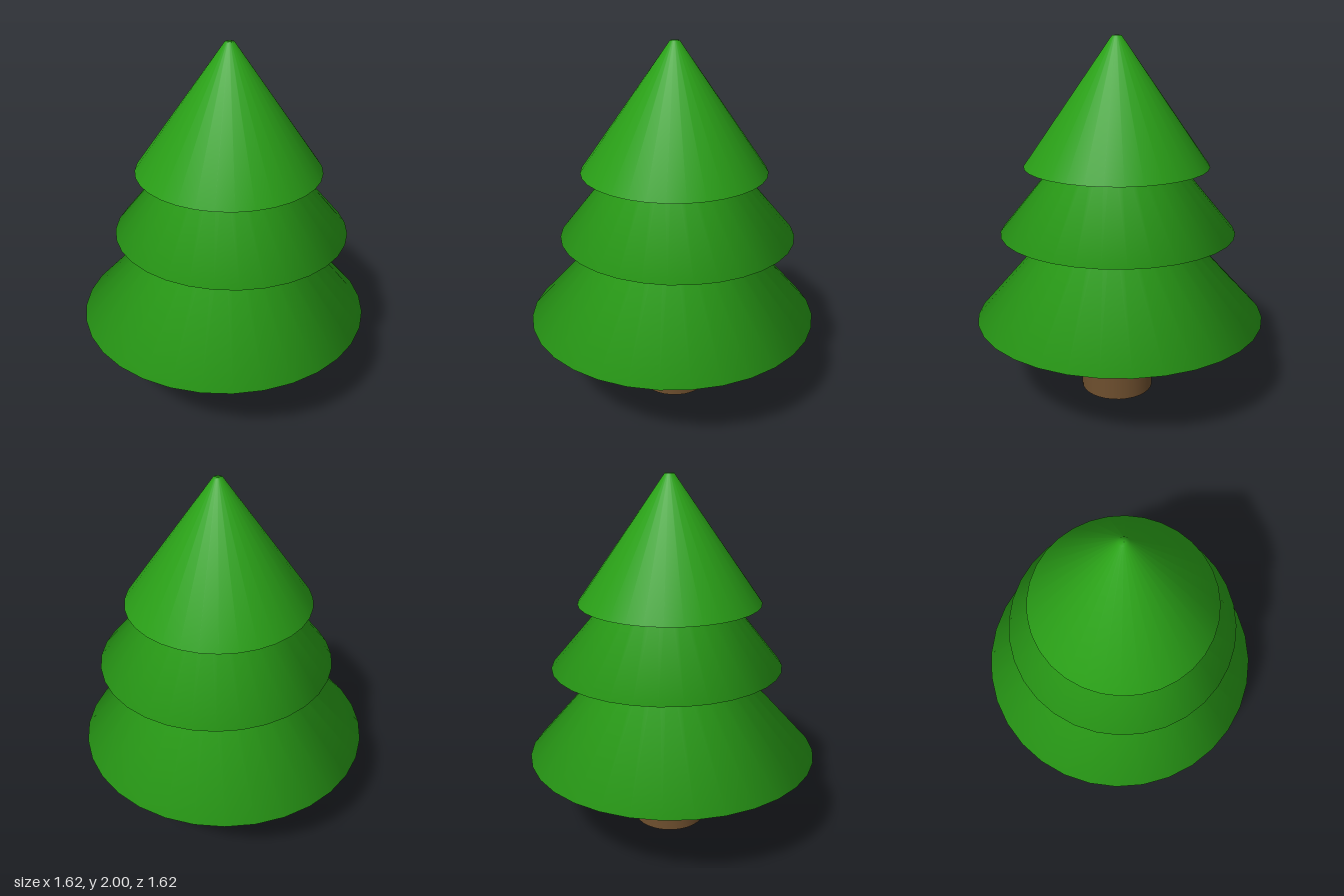
import * as THREE from 'three';

const SIDES = 32;

// Smooth lathe whose rings [radius, y, centreX, centreZ] may sit off the axis.
function offsetLathe(rings) {
  const geo = new THREE.LatheGeometry(rings.map(([r, y]) => new THREE.Vector2(r, y)), SIDES);
  const pos = geo.attributes.position;
  for (let i = 0; i < pos.count; i++) {
    const [, , cx, cz] = rings[i % rings.length];
    pos.setX(i, pos.getX(i) + cx);
    pos.setZ(i, pos.getZ(i) + cz);
  }
  return geo;
}

export function createModel() {
  const group = new THREE.Group();
  const cx = 0.02, cz = 0.022, trunkRadius = 0.205, trunkTop = 0.73;

  // Trunk, reaching up into the hollow of the lowest tier
  const trunk = new THREE.Mesh(
    new THREE.CylinderGeometry(trunkRadius, trunkRadius, trunkTop, SIDES),
    new THREE.MeshStandardMaterial({ color: 0x6e4f2e })
  );
  trunk.name = 'trunk';
  trunk.position.set(cx, trunkTop / 2, cz);
  group.add(trunk);

  // Foliage: three skirts with recessed undersides, as one smooth skin
  const foliage = new THREE.Mesh(
    offsetLathe([
      [trunkRadius, trunkTop, cx, cz],
      [0.81, 0.45, 0, 0],          // lower rim
      [trunkRadius, 1.13, cx, cz],
      [0.645, 0.955, 0.036, 0.022], // middle rim
      [trunkRadius, 1.49, cx, cz],
      [0.505, 1.315, 0.018, 0.022], // upper rim
      [0.025, 2, cx, cz],
      [0, 2, cx, cz],
    ]),
    new THREE.MeshStandardMaterial({ color: 0x2ba318 })
  );
  foliage.name = 'foliage';
  group.add(foliage);

  return group;
}
